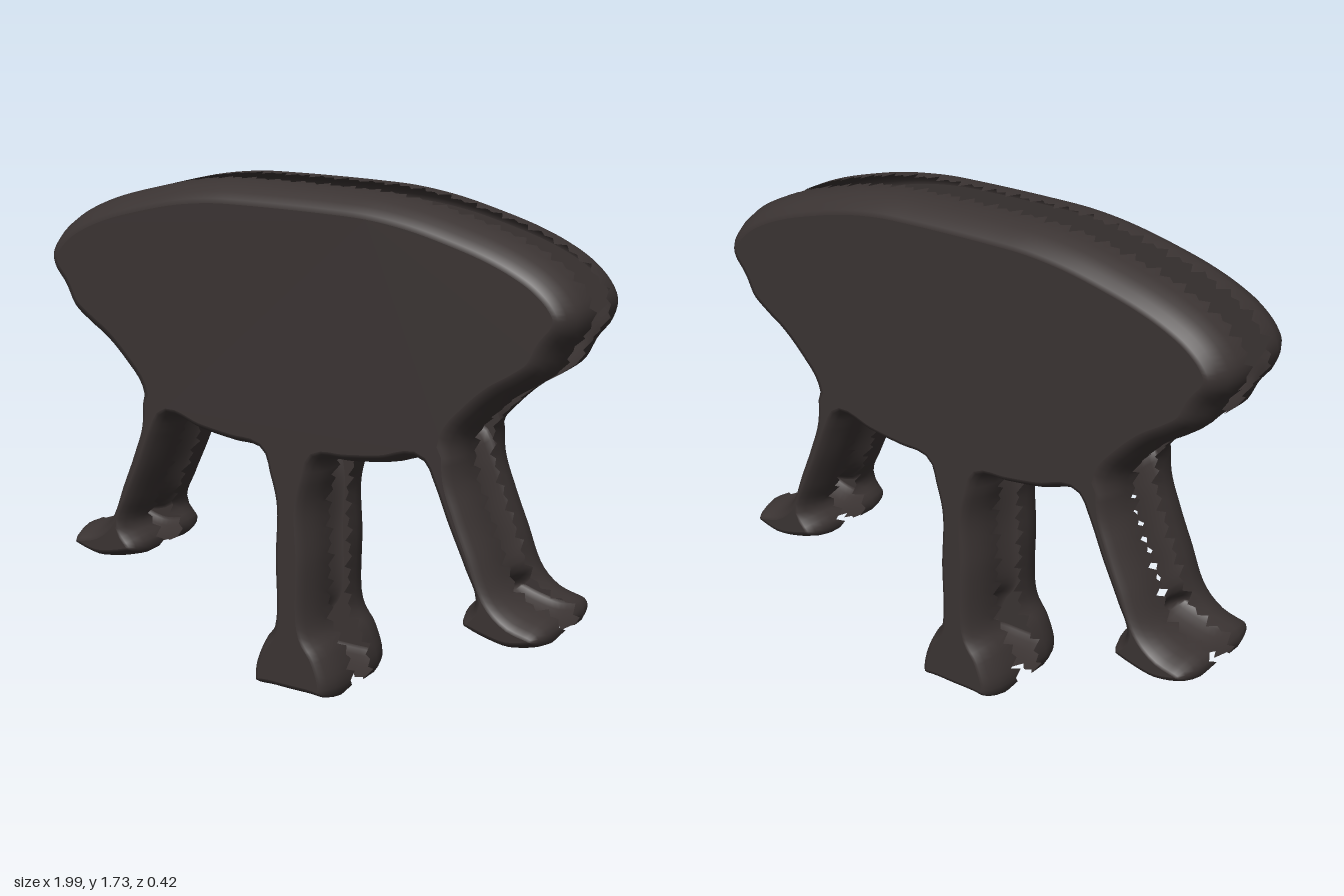
import * as THREE from 'three';

// Right half of the outline: dish, side leg with foot, centre leg with foot
const HALF = [
  [0.15, 1.73], [0.3, 1.725], [0.45, 1.705], [0.6, 1.67], [0.72, 1.635], [0.82, 1.595], [0.9, 1.55],
  [0.965, 1.49], [0.995, 1.43], [0.985, 1.37], [0.94, 1.31], [0.9, 1.235], [0.83, 1.18],
  [0.76, 1.135], [0.68, 1.06], [0.625, 0.99], [0.62, 0.88], [0.66, 0.76], [0.71, 0.64], [0.765, 0.51],
  [0.82, 0.46], [0.92, 0.425], [0.93, 0.375], [0.83, 0.335], [0.75, 0.34], [0.63, 0.385], [0.63, 0.425],
  [0.67, 0.48], [0.63, 0.58], [0.57, 0.71], [0.515, 0.84], [0.48, 0.9], [0.36, 0.87], [0.22, 0.85],
  [0.12, 0.84], [0.1, 0.78], [0.075, 0.68], [0.08, 0.5], [0.085, 0.24], [0.13, 0.17],
  [0.165, 0.06], [0.15, 0.005], [0.06, 0],
];
const COUNT = 400;

// Evenly spaced outline points, counter-clockwise, with inward normals
function makeOutline() {
  const right = HALF.map(([x, y]) => new THREE.Vector3(x, y, 0));
  const left = [...right].reverse().map((p) => new THREE.Vector3(-p.x, p.y, 0));
  const curve = new THREE.CatmullRomCurve3([...right, ...left].reverse(), true, 'centripetal');
  curve.arcLengthDivisions = 1600;
  const points = curve.getSpacedPoints(COUNT).slice(0, COUNT);
  const at = (i) => points[(i + COUNT) % COUNT];
  return points.map((p, i) => {
    const t = at(i + 2).clone().sub(at(i - 2)).normalize();
    return { x: p.x, y: p.y, nx: -t.y, ny: t.x };
  });
}

// Moves the outline inwards, a little less on the thin legs
function inset(outline, d) {
  return outline.map((p) => {
    const k = d * (p.y < 0.95 ? 0.7 : 1);
    return new THREE.Vector2(p.x + p.nx * k, Math.max(0, p.y + p.ny * k));
  });
}

// Curved side wall, with a torn toothed edge towards the middle
function wallGeometry(outline) {
  const rings = [[0, 0], [0, 0.11], [0.012, 0.15], [0.03, 0.185], [0.05, 0.207], [0.065, 0.21]];
  const pos = [], index = [];
  rings.forEach(([d, z], r) => {
    inset(outline, d).forEach((p, i) => {
      const tooth = (i % 2 ? 0.045 : 0.078) + 0.012 * Math.sin(i * 1.7);
      pos.push(p.x, p.y, r === 0 ? tooth : z);
      if (r === 0) return;
      const j = (i + 1) % COUNT, a = (r - 1) * COUNT, b = r * COUNT;
      index.push(a + i, a + j, b + j, a + i, b + j, b + i);
    });
  });
  const g = new THREE.BufferGeometry();
  g.setAttribute('position', new THREE.Float32BufferAttribute(pos, 3));
  g.setIndex(index);
  g.computeVertexNormals();
  return g;
}

export function createModel() {
  const model = new THREE.Group();
  model.name = 'leggedDish';
  const charcoal = new THREE.MeshStandardMaterial({ color: 0x3b3433, side: THREE.DoubleSide });
  charcoal.name = 'charcoal';

  const outline = makeOutline();
  const wall = wallGeometry(outline);
  const face = new THREE.ShapeGeometry(new THREE.Shape(inset(outline, 0.065)));
  face.translate(0, 0, 0.21);

  // Two matching shells with an open gap between them
  for (const [name, turn] of [['front', 0], ['back', Math.PI]]) {
    const shell = new THREE.Group();
    shell.name = name + 'Shell';
    for (const [part, geometry] of [['Wall', wall], ['Face', face]]) {
      const mesh = new THREE.Mesh(geometry, charcoal);
      mesh.name = name + part;
      shell.add(mesh);
    }
    shell.rotation.y = turn;
    model.add(shell);
  }
  return model;
}
